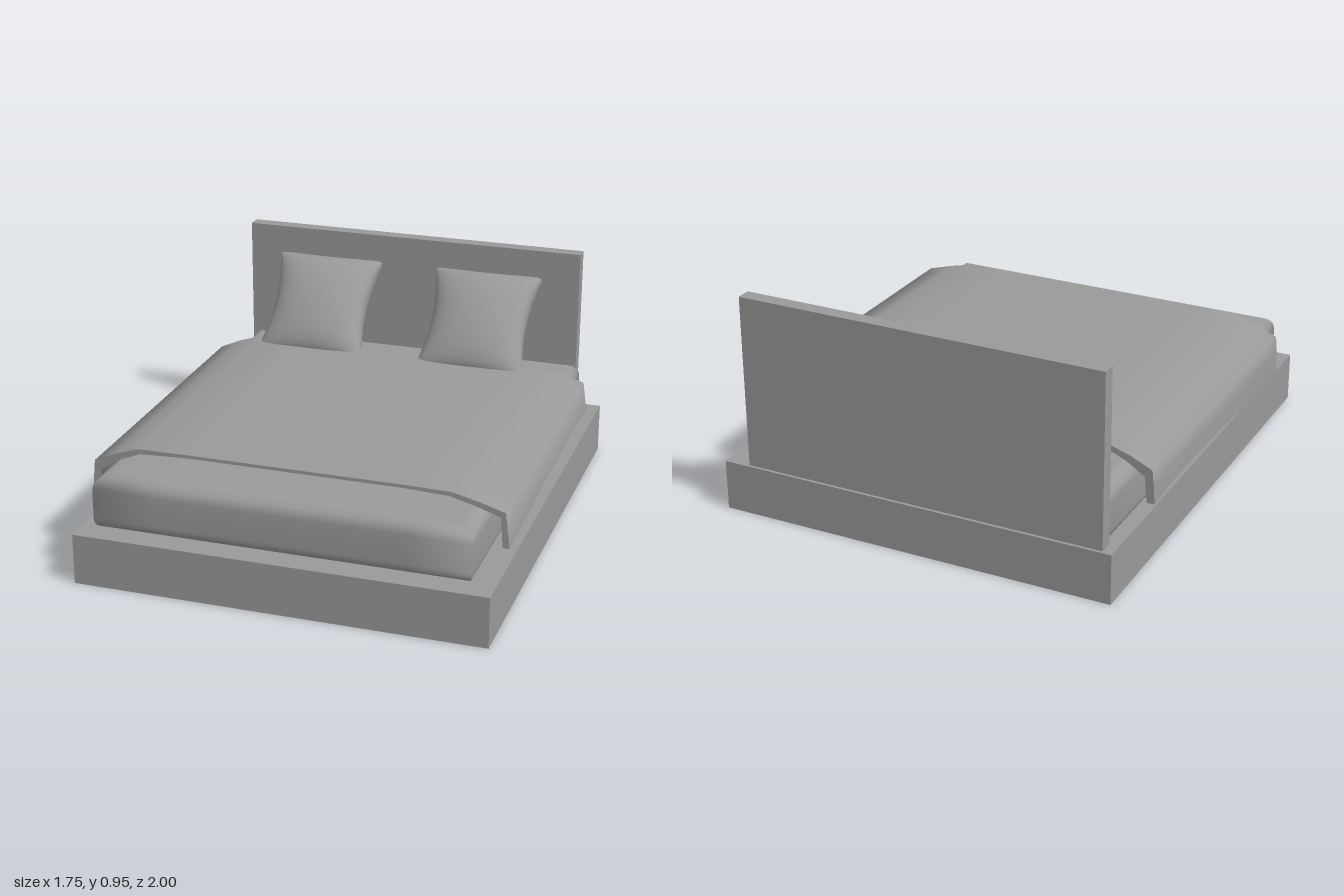
import * as THREE from 'three';
import { toCreasedNormals } from 'three/addons/utils/BufferGeometryUtils.js';

const material = new THREE.MeshStandardMaterial({ color: 0x9a9a9a });

function addMesh(group, name, geometry) {
  const mesh = new THREE.Mesh(geometry, material);
  mesh.name = name;
  group.add(mesh);
  return mesh;
}

// Box given by its minimum and maximum corners
function boxBetween(x0, x1, y0, y1, z0, z1) {
  return new THREE.BoxGeometry(x1 - x0, y1 - y0, z1 - z0)
    .translate((x0 + x1) / 2, (y0 + y1) / 2, (z0 + z1) / 2);
}

// Moves every vertex of a geometry by a rule
function deform(geometry, rule) {
  const pos = geometry.attributes.position;
  const v = new THREE.Vector3();
  for (let i = 0; i < pos.count; i++) {
    v.fromBufferAttribute(pos, i);
    rule(v);
    pos.setXYZ(i, v.x, v.y, v.z);
  }
  return geometry;
}

// Slab with a rounded top edge, slightly tucked bottom and soft upright corners
function mattressGeometry() {
  const w = 1.57, h = 0.22, d = 1.855, rows = 14;
  const geometry = new THREE.BoxGeometry(w, h, d, 6, rows, 6);
  deform(geometry, (v) => {
    const t = Math.round((v.y / h + 0.5) * rows);
    let inset, y;
    if (t <= 5) { // bottom edge
      const a = (t / 5) * Math.PI / 2;
      y = 0.04 * (1 - Math.cos(a));
      inset = 0.018 * (1 - Math.sin(a));
    } else { // wall and rounded top edge
      const a = ((t - 6) / 8) * Math.PI / 2;
      y = h - 0.06 + 0.06 * Math.sin(a);
      inset = 0.06 * (1 - Math.cos(a));
    }
    v.x *= 1 - inset / (w / 2);
    v.z *= 1 - inset / (d / 2);
    v.y = y;
  });
  return toCreasedNormals(geometry, 1.6).translate(-0.005, 0.215, -0.0225);
}

// Thin folded cover, its hanging hems rising towards the head
function blanketGeometry() {
  const outer = [
    [-0.875, 0.245], [-0.87, 0.35], [-0.863, 0.42], [-0.77, 0.462], [-0.67, 0.494],
    [-0.45, 0.497], [0.45, 0.497], [0.64, 0.494], [0.75, 0.468], [0.858, 0.437], [0.876, 0.287],
  ];
  const inner = [
    [0.849, 0.287], [0.838, 0.415], [0.74, 0.448], [0.63, 0.476], [0.45, 0.483],
    [-0.45, 0.483], [-0.66, 0.474], [-0.75, 0.438], [-0.832, 0.385], [-0.842, 0.245],
  ];
  const shape = new THREE.Shape([...outer, ...inner].map(([x, y]) => new THREE.Vector2(x, y)));
  const geometry = new THREE.ExtrudeGeometry(shape, { depth: 1.39, steps: 16, bevelEnabled: false });
  geometry.translate(0, 0, -0.67);
  deform(geometry, (v) => {
    const t = (0.72 - v.z) / 1.39;
    if (v.y < 0.3) v.y += 0.045 * Math.sin(Math.min(t / 0.9, 1) * Math.PI / 2) - 0.15 * Math.max(0, t - 0.9);
    else if (v.x > 0.7) v.y += 0.014 * t; // left shoulder lifts towards the head
  });
  return toCreasedNormals(geometry, 1.4);
}

// Plump cushion: concave sides, pointed corners, fuller towards the bottom
function pillowGeometry() {
  const n = 24;
  const geometry = new THREE.BoxGeometry(2, 2, 2, n, n, 1);
  deform(geometry, (v) => {
    // spread the grid towards the seams, where the surface turns fastest
    const u = Math.sin(v.x * Math.PI / 2), w = Math.sin(v.y * Math.PI / 2);
    const power = w < 0 ? 0.33 : 0.45;
    const puff = Math.pow(Math.max(0, 1 - u * u), 0.42) * Math.pow(Math.max(0, 1 - w * w), power);
    v.set(
      0.254 * u * (1 - 0.155 * (1 - w * w)),
      0.25 * w * (1 - 0.03 * (1 - u * u)),
      v.z > 0 ? 0.006 + 0.102 * puff : -0.006 - 0.085 * puff,
    );
  });
  return toCreasedNormals(geometry, 1.1);
}

export function createModel() {
  const bed = new THREE.Group();
  bed.name = 'bed';

  addMesh(bed, 'base', boxBetween(-0.842, 0.874, 0, 0.215, -1, 1));
  addMesh(bed, 'headboard', boxBetween(-0.8, 0.767, 0.215, 0.955, -0.987, -0.925));
  addMesh(bed, 'mattress', mattressGeometry());
  addMesh(bed, 'blanket', blanketGeometry());

  // Two pillows leaning on the headboard
  const pillow = pillowGeometry();
  for (const [name, x] of [['rightPillow', -0.408], ['leftPillow', 0.345]]) {
    const mesh = addMesh(bed, name, pillow);
    mesh.position.set(x, 0.635, -0.777);
    mesh.rotation.x = -0.72;
  }
  return bed;
}
